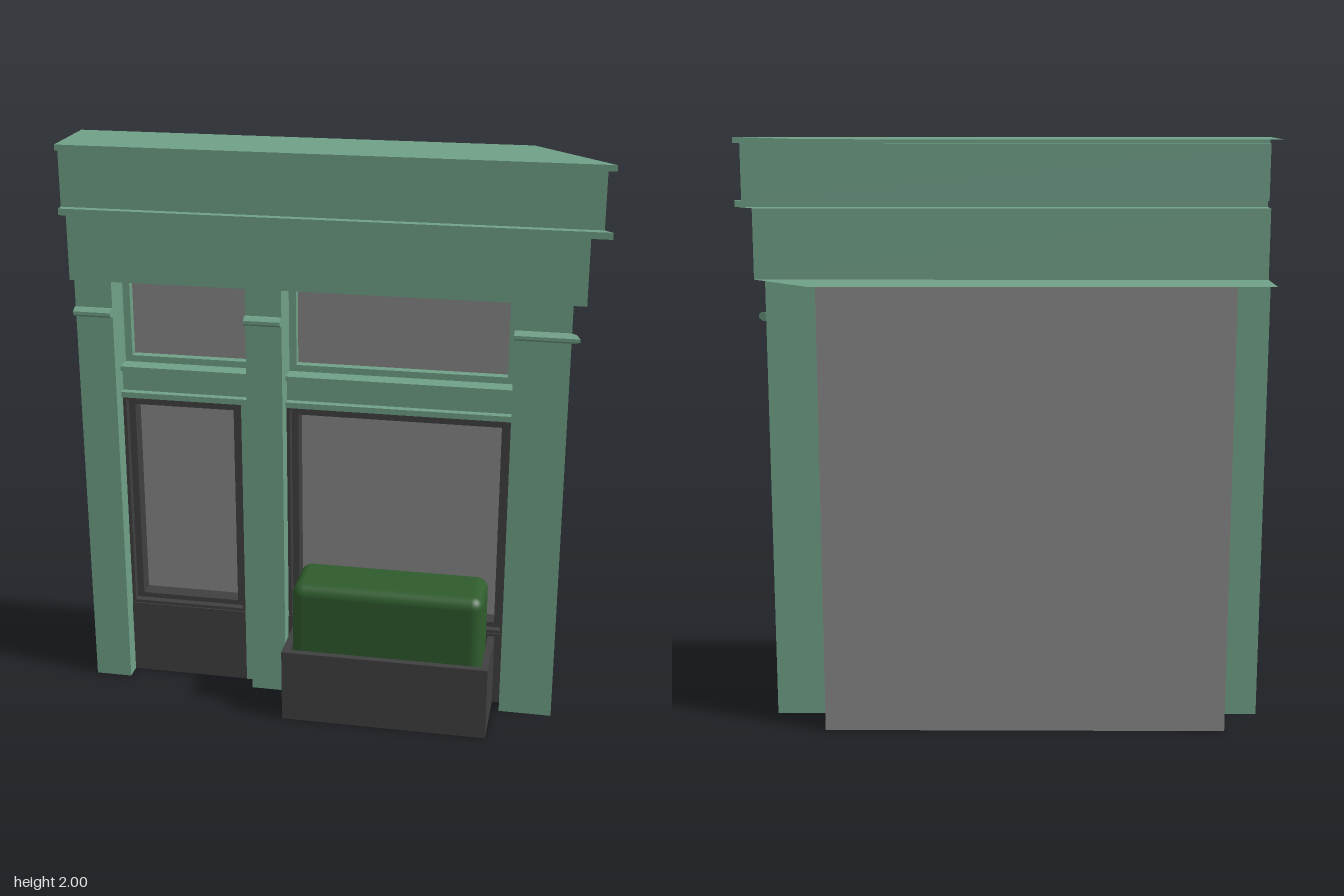
import * as THREE from 'three';
import { RoundedBoxGeometry } from 'three/addons/geometries/RoundedBoxGeometry.js';

const paint = (color) => new THREE.MeshStandardMaterial({ color, side: THREE.DoubleSide });
const GREEN = paint(0x70a088), DARK = paint(0x404040), GLASS = paint(0x888888), LEAF = paint(0x2f5c2d);

const BACK = -0.172, FACE = -0.018, TOP = 1.53;
const mitre = (z) => 0.803 + z; // 45 degree corner at the +x end

export function createModel() {
  const root = new THREE.Group();

  const add = (name, geometry, material, parent = root) => {
    const mesh = new THREE.Mesh(geometry, material);
    mesh.name = name;
    parent.add(mesh);
    return mesh;
  };

  // Flat-faced strip between two matching polylines, with optional end caps
  const strip = (a, b, capped = false) => {
    const pos = [];
    const tri = (...pts) => pts.forEach((p) => pos.push(...p));
    for (let i = 0; i < a.length - 1; i++) {
      tri(a[i], a[i + 1], b[i + 1]);
      tri(a[i], b[i + 1], b[i]);
    }
    if (capped) {
      for (let i = 1; i < a.length - 1; i++) {
        tri(a[0], a[i + 1], a[i]);
        tri(b[0], b[i], b[i + 1]);
      }
    }
    const g = new THREE.BufferGeometry();
    g.setAttribute('position', new THREE.Float32BufferAttribute(pos, 3));
    g.computeVertexNormals();
    return g;
  };

  // A [z, y] profile drawn out along x; x1 = null follows the mitre
  const moulding = (profile, x0, x1, capped) => strip(
    profile.map(([z, y]) => [x0, y, z]),
    profile.map(([z, y]) => [x1 ?? mitre(z), y, z]), capped);

  // A plan outline [x, z] raised from the ground
  const upright = (plan, h) => strip(plan.map(([x, z]) => [x, h, z]), plan.map(([x, z]) => [x, 0, z]));

  // Rectangular frame with an opening
  const frame = (x0, x1, y0, y1, w, zBack, zFront, wb = w) => {
    const rect = (T, l, r, b, t) => new T([[l, b], [r, b], [r, t], [l, t]].map((p) => new THREE.Vector2(...p)));
    const shape = rect(THREE.Shape, x0, x1, y0, y1);
    shape.holes.push(rect(THREE.Path, x0 + w, x1 - w, y0 + wb, y1 - w));
    const g = new THREE.ExtrudeGeometry(shape, { depth: zFront - zBack, bevelEnabled: false });
    return g.translate(0, 0, zBack);
  };

  // Open cornice, mitred at one end
  add('cornice', moulding([
    [-0.175, 2], [0.095, 2], [0.095, 1.98], [0.067, 1.98], [0.067, 1.79], [0.095, 1.79],
    [0.095, 1.768], [0.026, 1.768], [0.026, TOP], [-0.175, TOP],
  ], -0.9, null), GREEN);

  // Pilasters: a front with returns to the back wall
  add('rightPilaster', upright([[-0.9, FACE], [-0.77, FACE], [-0.77, BACK]], TOP), GREEN);
  add('centrePilaster', upright([[-0.305, BACK], [-0.305, FACE], [-0.18, FACE], [-0.18, BACK]], TOP), GREEN);
  add('leftPilaster', upright([[0.6, BACK], [0.6, FACE], [0.785, FACE]], TOP), GREEN);

  // Thin bead across each pilaster
  const bead = [[FACE, 1.425], [-0.002, 1.425], [0.011, 1.415], [0.011, 1.404], [-0.002, 1.395], [FACE, 1.395]];
  for (const [x0, x1] of [[-0.9, -0.77], [-0.305, -0.18], [0.6, null]]) {
    add('pilasterBead', moulding(bead, x0, x1, true), GREEN);
  }

  // Back wall, seen through the openings as glazing
  add('backGlazing', strip([[-0.77, TOP, BACK], [0.6, TOP, BACK]], [[-0.77, 0, BACK], [0.6, 0, BACK]]), GLASS);

  // Two window bays: [left edge, right edge, right edge of the dark joinery]
  for (const [x0, x1, xd] of [[-0.77, -0.305, -0.34], [-0.18, 0.6, 0.6]]) {
    const bay = new THREE.Group();
    bay.name = 'windowBay';
    root.add(bay);
    add('transomFrame', frame(x0, x1, 1.195, TOP - 0.001, 0.025, BACK + 0.002, -0.138), GREEN, bay);
    add('transomSill', moulding([
      [-0.138, 1.197], [-0.075, 1.197], [-0.075, 1.18], [-0.095, 1.18],
      [-0.095, 1.105], [-0.068, 1.105], [-0.068, 1.085], [BACK + 0.002, 1.085],
    ], x0, x1), GREEN, bay);
    add('outerFrame', frame(x0, xd, 0.275, 1.084, 0.012, -0.125, -0.083), DARK, bay);
    add('innerFrame', frame(x0 + 0.012, xd - 0.012, 0.287, 1.072, 0.024, BACK + 0.002, -0.11, 0.018), DARK, bay);
    add('lowerPanel', moulding([[-0.12, 0.276], [-0.078, 0.276], [-0.078, 0]], x0, xd), DARK, bay);
    if (xd < x1) add('fillerStrip', upright([[xd, BACK], [xd, -0.075], [x1, -0.075]], 1.085), GREEN, bay);
  }

  // Planter: three walls, open above and below
  const px0 = -0.152, px1 = 0.57, t = 0.024;
  const plan = new THREE.Shape([
    [px0, 0.08], [px0, -0.175], [px1, -0.175], [px1, 0.08],
    [px1 - t, 0.08], [px1 - t, -0.175 + t], [px0 + t, -0.175 + t], [px0 + t, 0.08],
  ].map((p) => new THREE.Vector2(...p)));
  const planter = new THREE.ExtrudeGeometry(plan, { depth: 0.265, bevelEnabled: false }).rotateX(-Math.PI / 2);
  add('planter', planter, DARK);

  // Clipped hedge
  const hedge = add('hedge', new RoundedBoxGeometry(0.666, 0.35, 0.222, 5, 0.04), LEAF);
  hedge.position.set(0.21, 0.335, 0.034);

  return root;
}
